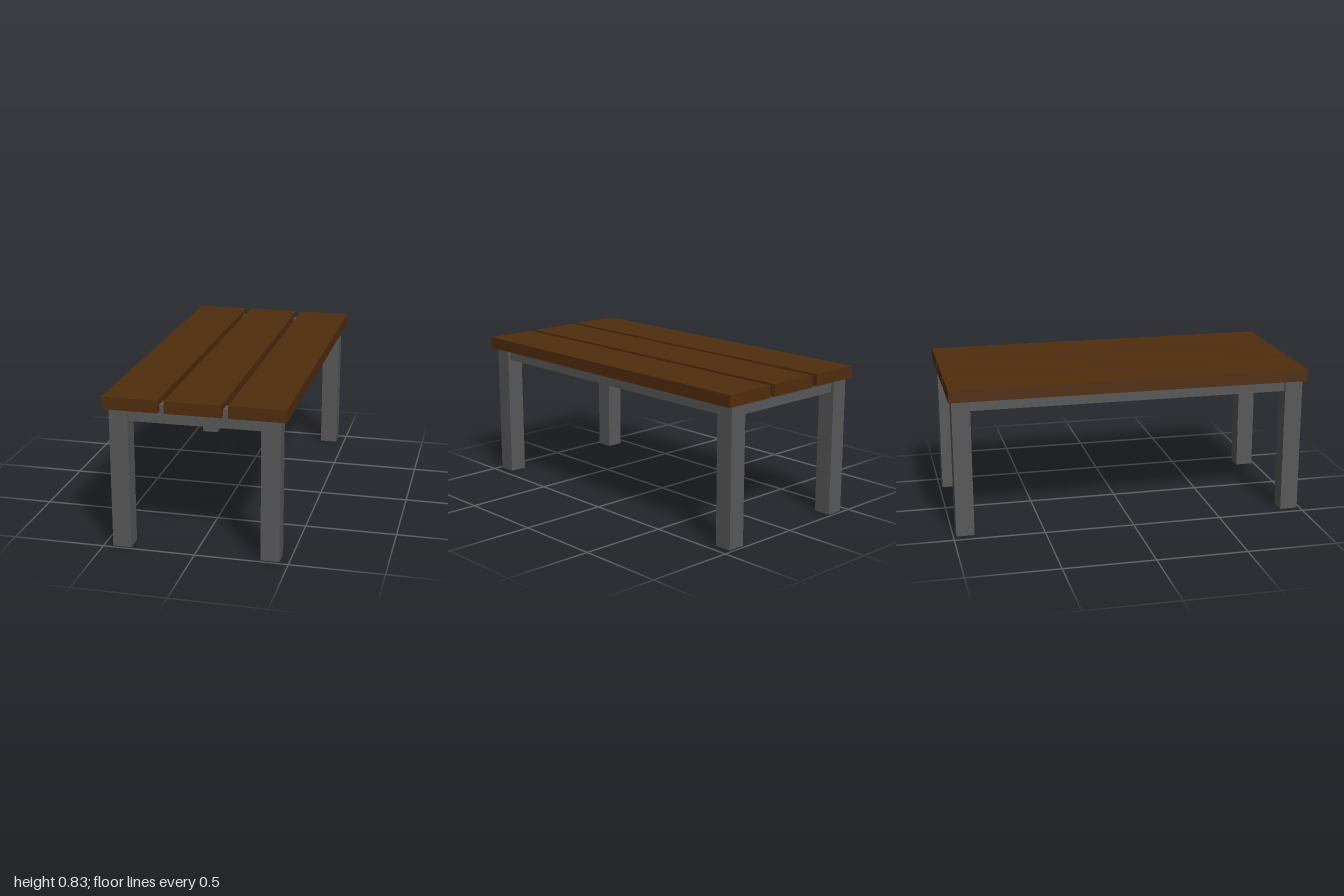
import * as THREE from 'three';

export function createModel() {
  const model = new THREE.Group();
  model.name = 'slattedTable';

  const wood = new THREE.MeshStandardMaterial({ color: 0x502d0e });
  wood.name = 'dark brown wood';
  const metal = new THREE.MeshStandardMaterial({ color: 0x585858 });
  metal.name = 'grey metal';

  const box = (name, material, size, position) => {
    const mesh = new THREE.Mesh(new THREE.BoxGeometry(...size), material);
    mesh.name = name;
    mesh.position.set(...position);
    model.add(mesh);
  };

  // Three planks running the full length of the top
  ['rightPlank', 'middlePlank', 'leftPlank'].forEach((name, i) =>
    box(name, wood, [0.3, 0.0667, 2], [(i - 1) * 0.3333, 0.8, 0]));

  const legX = 0.4, legZ = 0.9333, legWidth = 0.1;
  const railHeight = 0.1, railWidth = 0.0667, railY = 0.7525;

  for (const s of [-1, 1]) {
    const side = s > 0 ? 'left' : 'right';
    const end = s > 0 ? 'front' : 'back';

    // Square legs, reaching into the planks
    for (const e of [-1, 1]) {
      box(`${side}${e > 0 ? 'Front' : 'Back'}Leg`, metal,
        [legWidth, 0.8, legWidth], [s * legX, 0.4, e * legZ]);
    }

    // Narrower rails joining the legs under the top
    box(`${side}Rail`, metal, [railWidth, railHeight, 2 * legZ - legWidth], [s * legX, railY, 0]);
    box(`${end}Rail`, metal, [2 * legX - legWidth, railHeight, railWidth], [0, railY, s * legZ]);
  }

  return model;
}
